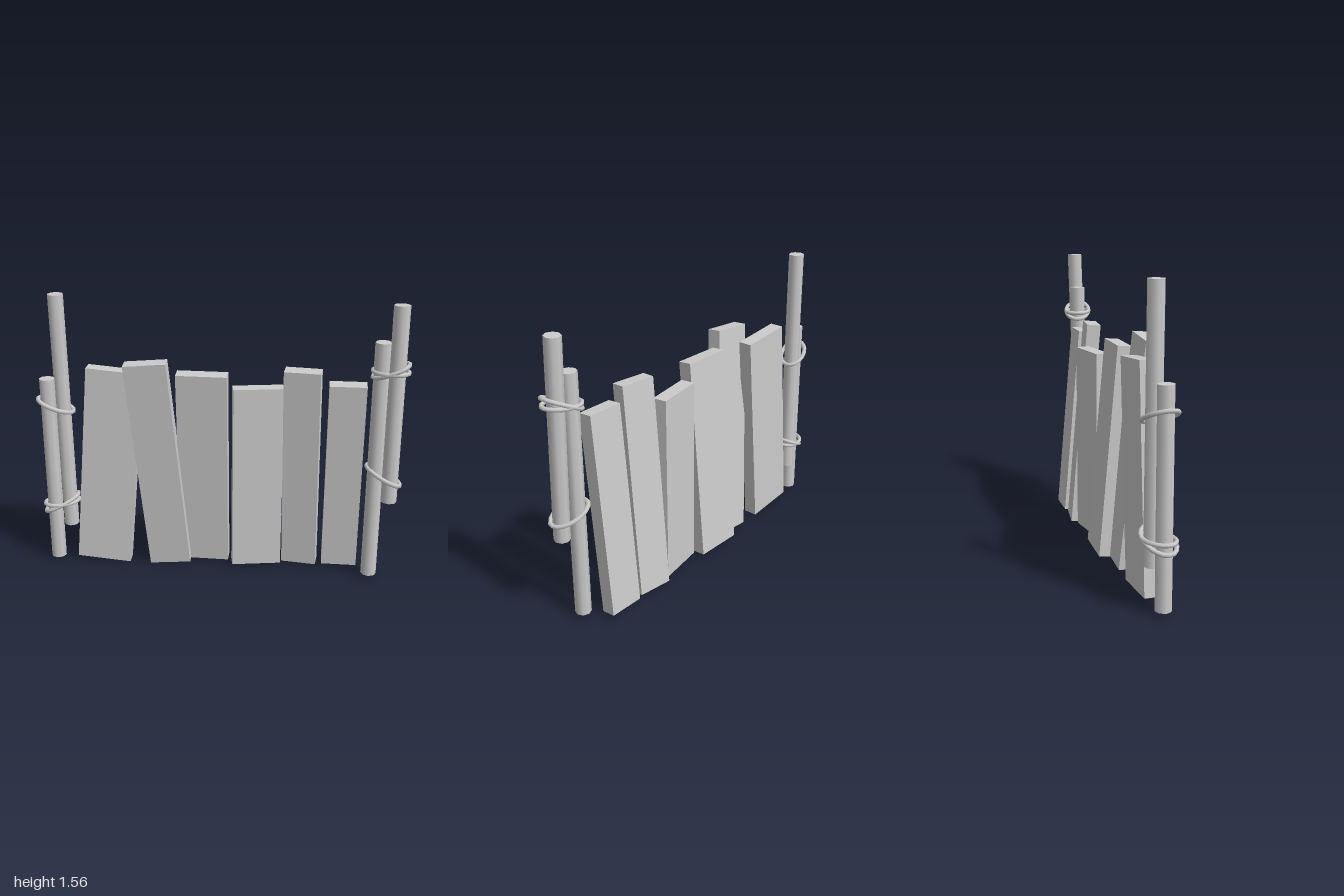
import * as THREE from 'three';

const grey = new THREE.MeshStandardMaterial({ color: 0xcccccc });

// Plank: centre, width, length, then lean forward (rx), yaw (ry) and lean sideways (rz)
function plank(x, y, z, w, len, rx, ry, rz) {
  const mesh = new THREE.Mesh(new THREE.BoxGeometry(w, len, 0.077), grey);
  mesh.name = 'plank';
  mesh.position.set(x, y, z);
  mesh.rotation.set(rx, ry, rz, 'YXZ');
  return mesh;
}

// Round pole between two end points
function pole(bottom, top) {
  const a = new THREE.Vector3(...bottom);
  const b = new THREE.Vector3(...top);
  const mesh = new THREE.Mesh(new THREE.CylinderGeometry(0.043, 0.043, a.distanceTo(b), 8), grey);
  mesh.name = 'pole';
  mesh.position.copy(a).add(b).multiplyScalar(0.5);
  mesh.quaternion.setFromUnitVectors(new THREE.Vector3(0, 1, 0), b.sub(a).normalize());
  return mesh;
}

// Oval loop of rope around a pair of poles; slope tilts it along x, yaw turns its long axis
function rope(x, y, z, yaw, slope) {
  const points = [];
  for (let i = 0; i < 10; i++) {
    const t = (i / 10) * Math.PI * 2;
    const u = 0.097 * Math.cos(t);
    const v = 0.068 * Math.sin(t);
    const px = u * Math.cos(yaw) - v * Math.sin(yaw);
    const pz = u * Math.sin(yaw) + v * Math.cos(yaw);
    points.push(new THREE.Vector3(px, px * slope, pz));
  }
  const curve = new THREE.CatmullRomCurve3(points, true);
  const mesh = new THREE.Mesh(new THREE.TubeGeometry(curve, 20, 0.012, 6, true), grey);
  mesh.name = 'ropeLoop';
  mesh.position.set(x, y, z);
  return mesh;
}

function group(name, ...parts) {
  const g = new THREE.Group();
  g.name = name;
  g.add(...parts);
  return g;
}

export function createModel() {
  const planks = group('planks',
    plank(-0.612, 0.588, -0.03, 0.305, 1.145, 0, 0, -0.088),
    plank(-0.328, 0.623, 0.022, 0.23, 1.225, 0.086, 0, 0.085),
    plank(-0.085, 0.59, -0.035, 0.275, 1.145, 0.088, -0.03, 0),
    plank(0.212, 0.547, -0.045, 0.275, 1.055, 0, 0.157, 0),
    plank(0.455, 0.607, -0.035, 0.195, 1.18, 0.086, -0.13, 0),
    plank(0.687, 0.573, -0.035, 0.197, 1.11, 0.088, -0.015, 0));

  // Pair of lashed poles at the right end
  const rightPost = group('rightPost',
    pole([-0.935, 0.02, -0.015], [-0.935, 1.1, -0.015]),
    pole([-0.856, 0.215, -0.048], [-0.866, 1.56, -0.043]),
    rope(-0.898, 0.945, -0.03, -0.5, -0.48),
    rope(-0.898, 0.355, -0.03, -0.5, 0.48),
    rope(-0.898, 0.362, -0.03, -0.45, 0.03));

  // Pair of lashed poles at the left end
  const leftPost = group('leftPost',
    pole([0.852, 0.02, 0.035], [0.852, 1.365, 0.035]),
    pole([0.932, 0.485, 0.068], [0.932, 1.56, 0.036]),
    rope(0.895, 0.627, 0.045, 0.5, -0.48),
    rope(0.898, 1.217, 0.043, 0.5, 0.48),
    rope(0.898, 1.212, 0.043, 0.45, 0.03));

  return group('plankFence', planks, rightPost, leftPost);
}
